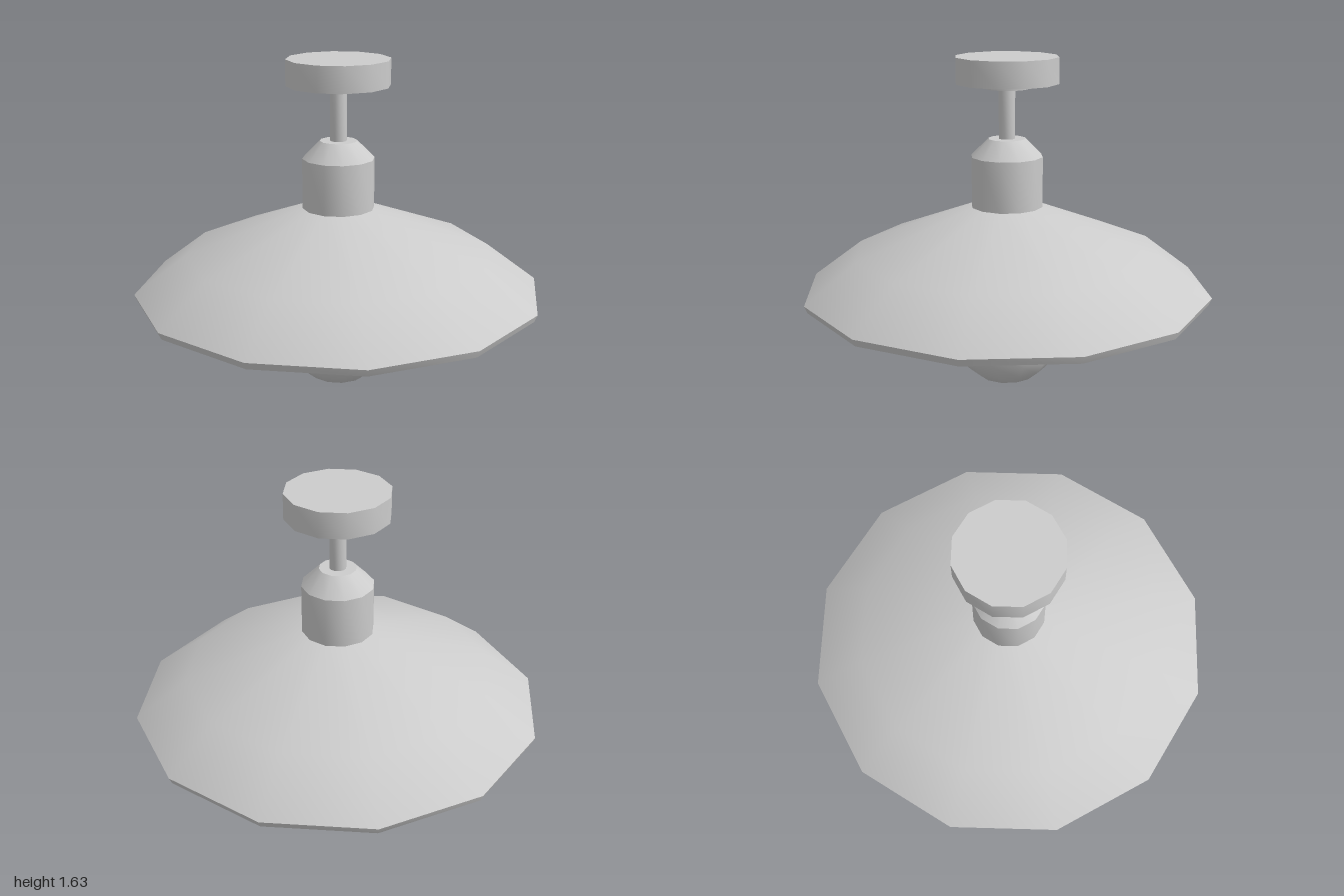
import * as THREE from 'three';
import { toCreasedNormals } from 'three/addons/utils/BufferGeometryUtils.js';

const SIDES = 12;
const material = new THREE.MeshStandardMaterial({ color: 0xcccccc });

// Turned part: [radius, height] pairs, running from the underside to the outside top
function turned(name, profile) {
  const points = profile.map(([r, y]) => new THREE.Vector2(r, y));
  const geometry = toCreasedNormals(new THREE.LatheGeometry(points, SIDES), THREE.MathUtils.degToRad(40));
  const mesh = new THREE.Mesh(geometry, material);
  mesh.name = name;
  return mesh;
}

// Closed cylinder between two heights
const disc = (name, r, y0, y1) => turned(name, [[0, y0], [r, y0], [r, y1], [0, y1]]);

export function createModel() {
  const lamp = new THREE.Group();
  lamp.name = 'pendantLamp';
  lamp.add(
    // Ceiling mount and stem
    disc('ceilingPlate', 0.25, 1.505, 1.63),
    disc('collar', 0.11, 1.48, 1.505),
    disc('stem', 0.04, 1.23, 1.48),

    // Lamp holder with sloped shoulder
    turned('socketHousing', [[0, 0.9], [0.175, 0.9], [0.175, 1.155], [0.09, 1.24], [0, 1.24]]),

    // Hollow shade: inside, rim, outside
    turned('shade', [
      [0, 0.78], [0.16, 0.78], [0.72, 0.63], [0.945, 0.465],
      [0.985, 0.465], [1, 0.5], [0.75, 0.69], [0.175, 0.91], [0, 0.91],
    ]),

    // Bulb and its base
    disc('bulbBase', 0.08, 0.67, 0.79),
    turned('bulb', [
      [0, 0.003], [0.07, 0.012], [0.14, 0.04], [0.2, 0.09], [0.245, 0.155], [0.265, 0.235],
      [0.255, 0.32], [0.225, 0.4], [0.175, 0.47], [0.125, 0.54], [0.095, 0.61], [0.085, 0.68], [0, 0.68],
    ]),
  );
  return lamp;
}
